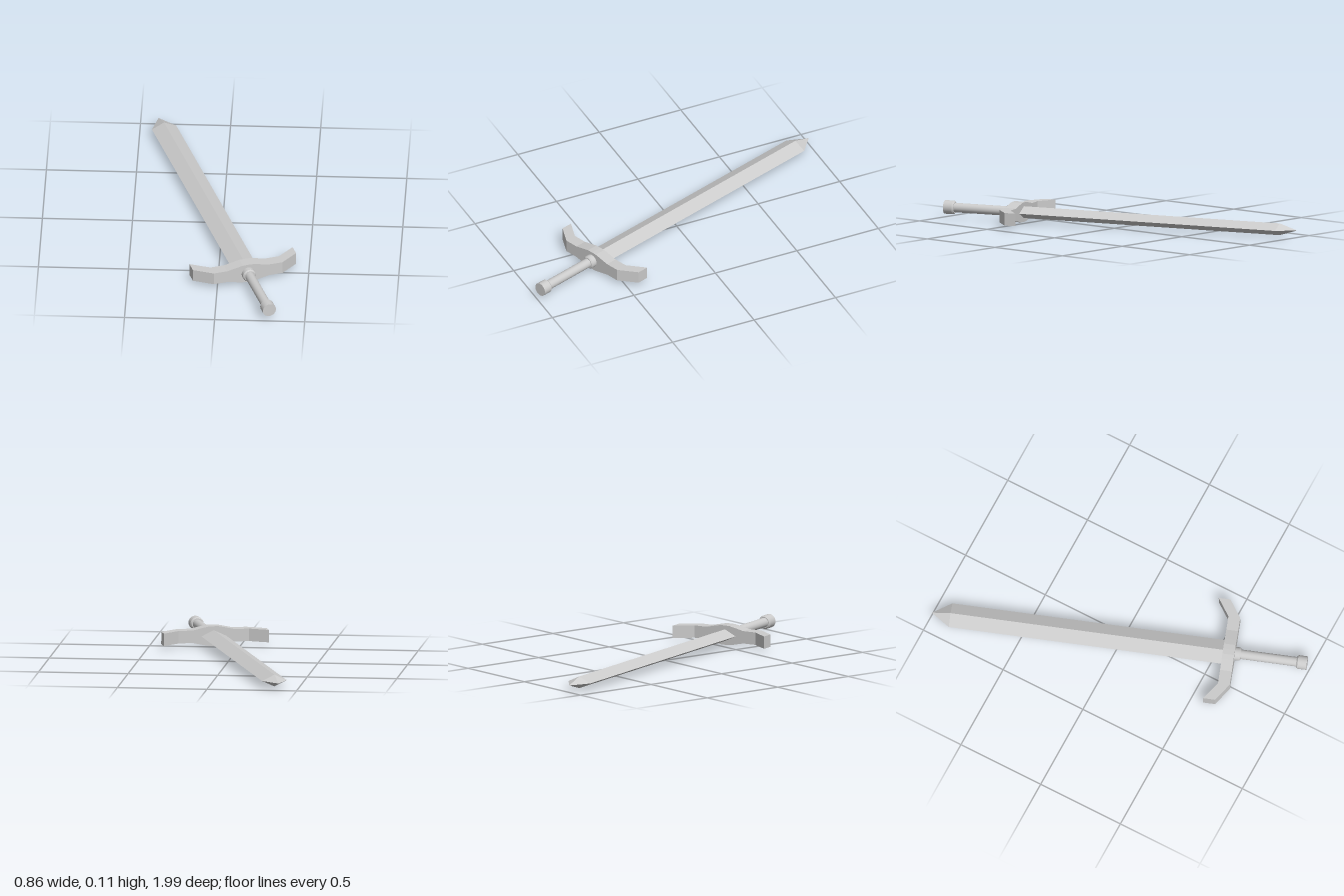
import * as THREE from 'three';

const smooth = new THREE.MeshStandardMaterial({ color: 0xcccccc });
const faceted = new THREE.MeshStandardMaterial({ color: 0xcccccc, flatShading: true });

// Piecewise-linear lookup through [position, value] pairs
function lerpTable(table, t) {
  for (let i = 1; i < table.length; i++) {
    const [a, va] = table[i - 1], [b, vb] = table[i];
    if (t <= b) return va + (vb - va) * (t - a) / (b - a);
  }
  return table[table.length - 1][1];
}

export function createModel() {
  const group = new THREE.Group();

  // Sword frame: tip toward -z, pommel toward +z, guard along x
  const sword = new THREE.Group();
  sword.name = 'sword';
  sword.rotation.set(-0.0095, 0.341, 0, 'YXZ');
  sword.position.set(-0.04, 0.05, 0.014);
  group.add(sword);

  const add = (name, geometry, material) => {
    const mesh = new THREE.Mesh(geometry, material);
    mesh.name = name;
    sword.add(mesh);
  };

  // Round section running along z from z0 to z1
  const round = (name, r0, r1, z0, z1) => {
    const g = new THREE.CylinderGeometry(r1, r0, z1 - z0, 32);
    g.rotateX(Math.PI / 2);
    g.translate(0, 0, (z0 + z1) / 2);
    add(name, g, smooth);
  };

  // Blade: diamond section ending in a pyramid point
  const profile = [[0, -0.57], [1, -0.57], [1, 0.971], [0, 1.076]];
  const blade = new THREE.LatheGeometry(profile.map(p => new THREE.Vector2(...p)), 4);
  blade.rotateX(-Math.PI / 2);
  blade.scale(0.0705, 0.033, 1);
  add('blade', blade, faceted);

  // Crossguard: bar swollen at the centre, with arms bent toward the tip
  const stations = [-0.299, -0.199, -0.12, -0.06, -0.03, 0, 0.03, 0.06, 0.12, 0.199, 0.299];
  const halfHeight = [[0, 0.055], [0.03, 0.054], [0.06, 0.048], [0.12, 0.035], [0.3, 0.035]];
  const sweep = [[0, 0.59], [0.199, 0.59], [0.299, 0.521]];
  const n = stations.length - 1;
  const guard = new THREE.BoxGeometry(n, 2, 0.066, n, 1, 1);
  const pos = guard.attributes.position;
  for (let i = 0; i < pos.count; i++) {
    const x = stations[Math.round(pos.getX(i) + n / 2)];
    const d = Math.abs(x);
    pos.setXYZ(i, x, pos.getY(i) * lerpTable(halfHeight, d), pos.getZ(i) + lerpTable(sweep, d));
  }
  add('crossguard', guard, faceted);

  // Handle
  round('collar', 0.0375, 0.0375, 0.61, 0.648);
  round('collarBevel', 0.0375, 0.031, 0.648, 0.656);
  round('grip', 0.0265, 0.0265, 0.62, 0.99);
  round('pommelBevel', 0.031, 0.038, 0.968, 0.976);
  round('pommel', 0.038, 0.038, 0.976, 1.027);

  return group;
}
